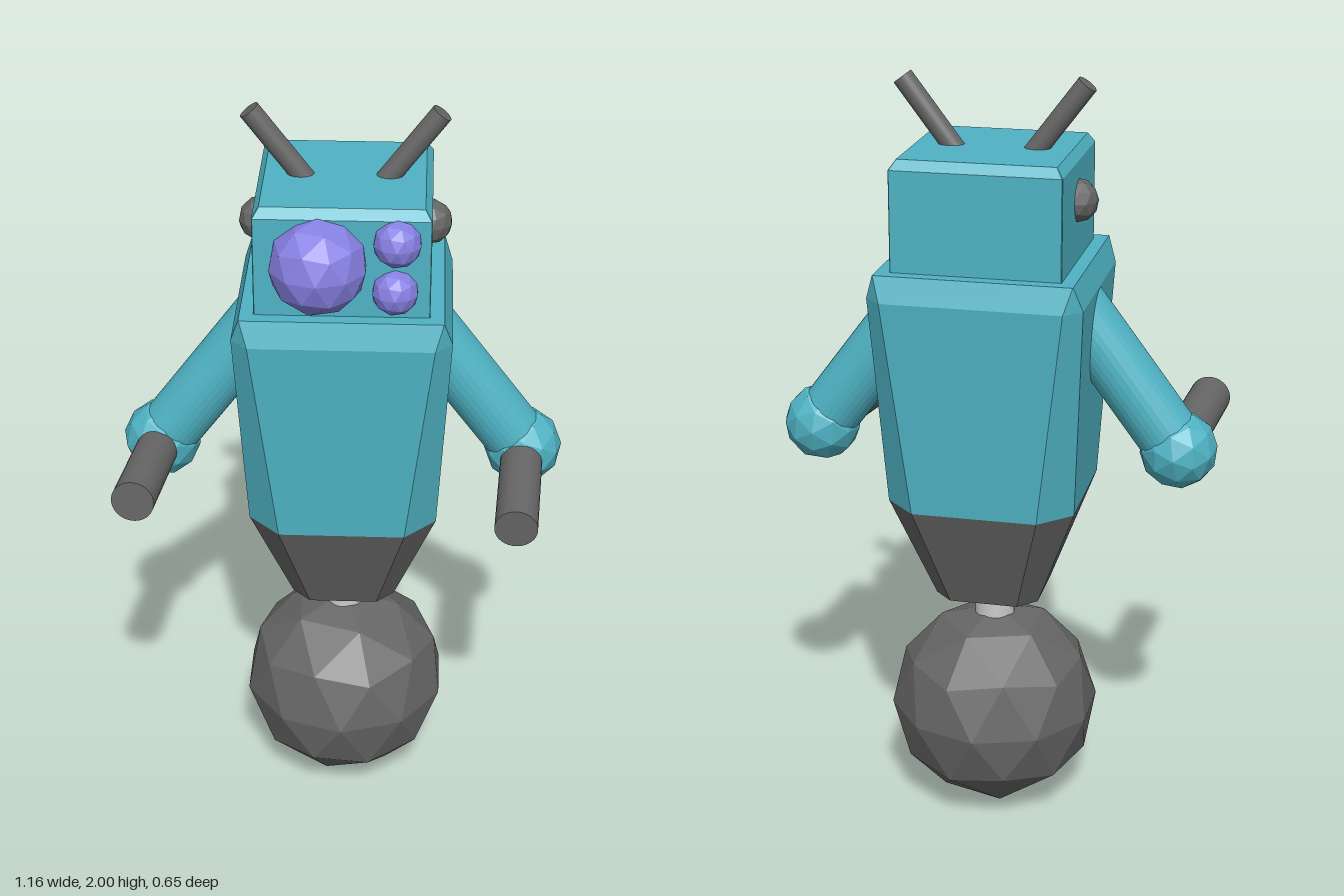
import * as THREE from 'three';

const CX = 0.008, CZ = -0.04; // body axis
const flat = (color) => new THREE.MeshStandardMaterial({ color, flatShading: true });

export function createModel() {
  const robot = new THREE.Group();
  robot.name = 'robot';
  const teal = flat(0x4fb3c4), dark = flat(0x666666), violet = flat(0x8680e2), grey = flat(0xcccccc);

  function add(name, geometry, material) {
    const mesh = new THREE.Mesh(geometry, material);
    mesh.name = name;
    robot.add(mesh);
    return mesh;
  }

  // Faceted ball with one vertex pointing straight up
  function ball(name, r, x, y, z, material, tilt = 0) {
    const g = new THREE.IcosahedronGeometry(r, 1);
    g.rotateX(-Math.atan((1 + Math.sqrt(5)) / 2));
    g.rotateY(Math.PI / 2);
    const mesh = add(name, g, material);
    mesh.position.set(x, y, z);
    mesh.rotation.z = tilt;
    return mesh;
  }

  // Cylinder between two points
  function rod(name, r, from, to, material) {
    const a = new THREE.Vector3(...from), b = new THREE.Vector3(...to);
    const dir = b.clone().sub(a);
    const mesh = add(name, new THREE.CylinderGeometry(r, r, dir.length(), 32), material);
    mesh.position.copy(a).add(b).multiplyScalar(0.5);
    mesh.quaternion.setFromUnitVectors(new THREE.Vector3(0, 1, 0), dir.normalize());
    return mesh;
  }

  // Stacked square sections [y, half width, corner chamfer], bottom to top
  function loft(name, sections, material) {
    const rings = sections.map(([y, h, c]) => {
      const k = h - c;
      return [[h, k], [h, -k], [k, -h], [-k, -h], [-h, -k], [-h, k], [-k, h], [k, h]]
        .map(([x, z]) => [CX + x, y, CZ + z]);
    });
    const pos = [];
    const tri = (...points) => points.forEach((p) => pos.push(...p));
    for (let s = 0; s < rings.length - 1; s++) {
      for (let i = 0; i < 8; i++) {
        const j = (i + 1) % 8, lo = rings[s], hi = rings[s + 1];
        tri(lo[i], lo[j], hi[j]);
        tri(lo[i], hi[j], hi[i]);
      }
    }
    const bottom = rings[0], top = rings[rings.length - 1];
    for (let i = 1; i < 7; i++) {
      tri(top[0], top[i], top[i + 1]);
      tri(bottom[0], bottom[i + 1], bottom[i]);
    }
    const g = new THREE.BufferGeometry();
    g.setAttribute('position', new THREE.Float32BufferAttribute(pos, 3));
    g.computeVertexNormals();
    return add(name, g, material);
  }

  // Rolling ball and neck joint
  ball('rollingBall', 0.28, 0.008, 0.283, CZ, dark);
  rod('waistJoint', 0.053, [CX, 0.5, CZ], [CX, 0.66, CZ], grey);

  // Tapered body and head
  loft('hips', [[0.625, 0.137, 0.047], [0.91, 0.245, 0.082]], dark);
  loft('torso', [[0.91, 0.245, 0.082], [1.475, 0.274, 0.043], [1.54, 0.252, 0.001]], teal);
  loft('head', [[1.53, 0.217, 0.002], [1.797, 0.217, 0.002], [1.822, 0.2, 0.001]], teal);

  // One large eye and two small ones
  ball('largeEye', 0.123, -0.05, 1.678, 0.178, violet);
  ball('upperSmallEye', 0.06, 0.142, 1.74, 0.177, violet);
  ball('lowerSmallEye', 0.058, 0.138, 1.61, 0.177, violet);

  // Paired parts
  for (const s of [1, -1]) {
    const side = s > 0 ? 'left' : 'right';
    ball(side + 'Ear', 0.057, CX + s * 0.211, 1.695, -0.045, dark);
    rod(side + 'Antenna', 0.027, [CX + s * 0.075, 1.775, CZ], [CX + s * 0.235, 1.986, CZ], dark);

    const elbow = [s * 0.478, 1.052, CZ];
    rod(side + 'UpperArm', 0.081, [s * 0.18, 1.45, CZ], elbow, teal);
    ball(side + 'Elbow', 0.102, ...elbow, teal, s * 0.63);
    // Both forearms swing slightly toward the right side
    const end = s > 0 ? [0.453, 1.022, 0.32] : [-0.513, 1.077, 0.32];
    rod(side + 'Forearm', 0.055, elbow, end, dark);
  }
  return robot;
}
